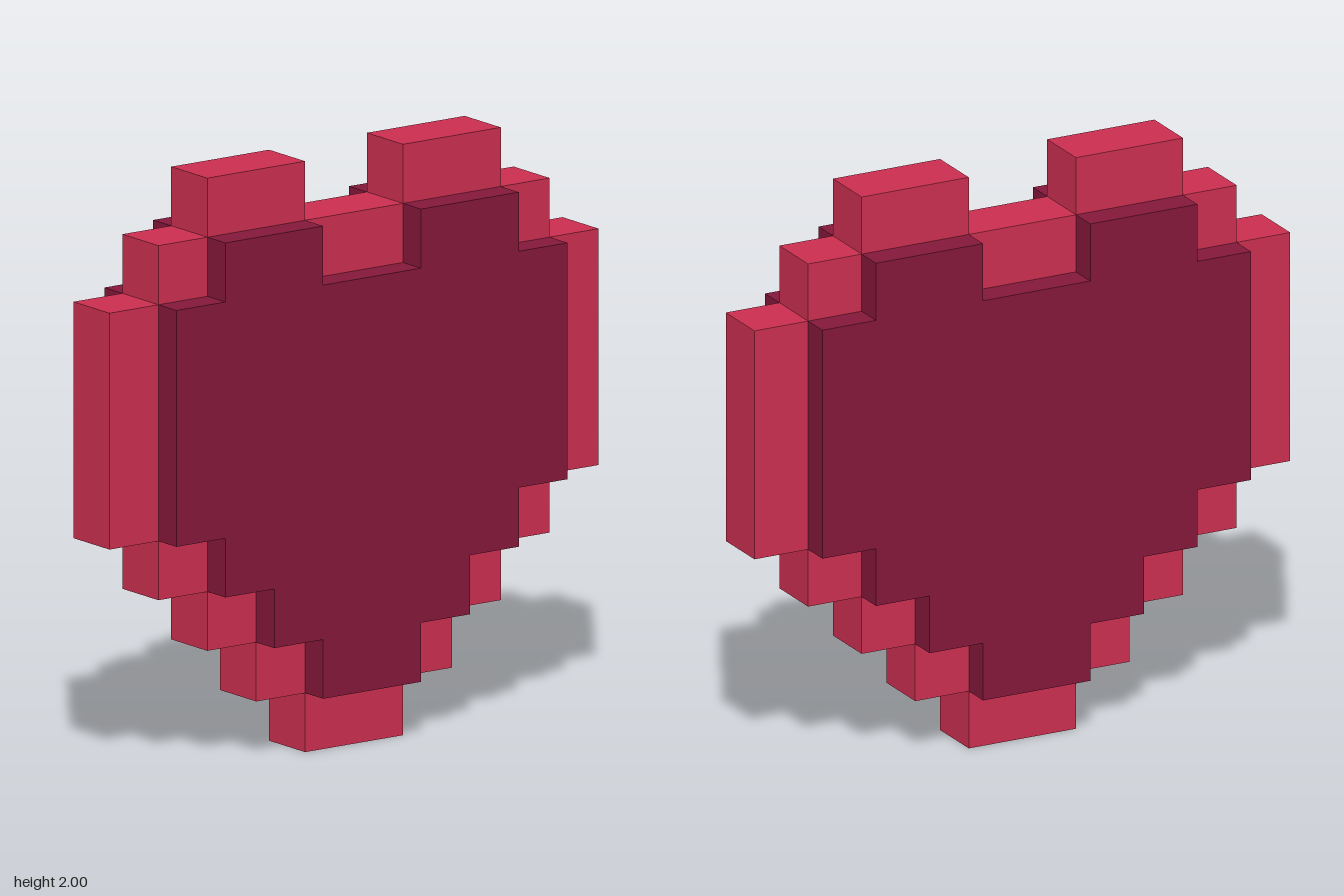
import * as THREE from 'three';

const CELL = 0.2;

export function createModel() {
  const group = new THREE.Group();
  group.name = 'blockHeart';
  const rimMaterial = new THREE.MeshStandardMaterial({ color: 0xcb2f50, flatShading: true });
  const coreMaterial = new THREE.MeshStandardMaterial({ color: 0x85183a, flatShading: true });

  // Core: stepped heart slab; right half outline in cells, mirrored for the left
  const half = [[1, 1], [1, 2], [2, 2], [2, 3], [3, 3], [3, 4], [4, 4], [4, 8], [3, 8], [3, 9], [1, 9], [1, 8]];
  const outline = [...half, ...half.map(([x, y]) => [-x, y]).reverse()];
  const shape = new THREE.Shape(outline.map(([x, y]) => new THREE.Vector2(x * CELL, y * CELL)));
  const coreGeometry = new THREE.ExtrudeGeometry(shape, { depth: 2 * CELL, bevelEnabled: false });
  coreGeometry.translate(0, 0, -CELL);
  const core = new THREE.Mesh(coreGeometry, coreMaterial);
  core.name = 'core';
  group.add(core);

  // Rim: thinner blocks stepping around the core, as [x0, x1, y0, y1] in cells
  const rim = new THREE.Group();
  rim.name = 'rim';
  group.add(rim);
  const addBlock = (name, x0, x1, y0, y1) => {
    const block = new THREE.Mesh(
      new THREE.BoxGeometry((x1 - x0) * CELL, (y1 - y0) * CELL, CELL), rimMaterial);
    block.position.set((x0 + x1) / 2 * CELL, (y0 + y1) / 2 * CELL, 0);
    block.name = name;
    rim.add(block);
  };
  addBlock('bottomTip', -1, 1, 0, 1);
  addBlock('topNotch', -1, 1, 8, 9);

  // Blocks found on both sides
  const sideBlocks = [
    ['LowerStep', 1, 2, 1, 2],
    ['MiddleStep', 2, 3, 2, 3],
    ['UpperStep', 3, 4, 3, 4],
    ['Side', 4, 5, 4, 8],
    ['Shoulder', 3, 4, 8, 9],
    ['LobeTop', 1, 3, 9, 10],
  ];
  for (const [name, x0, x1, y0, y1] of sideBlocks) {
    addBlock('left' + name, x0, x1, y0, y1);
    addBlock('right' + name, -x1, -x0, y0, y1);
  }
  return group;
}
